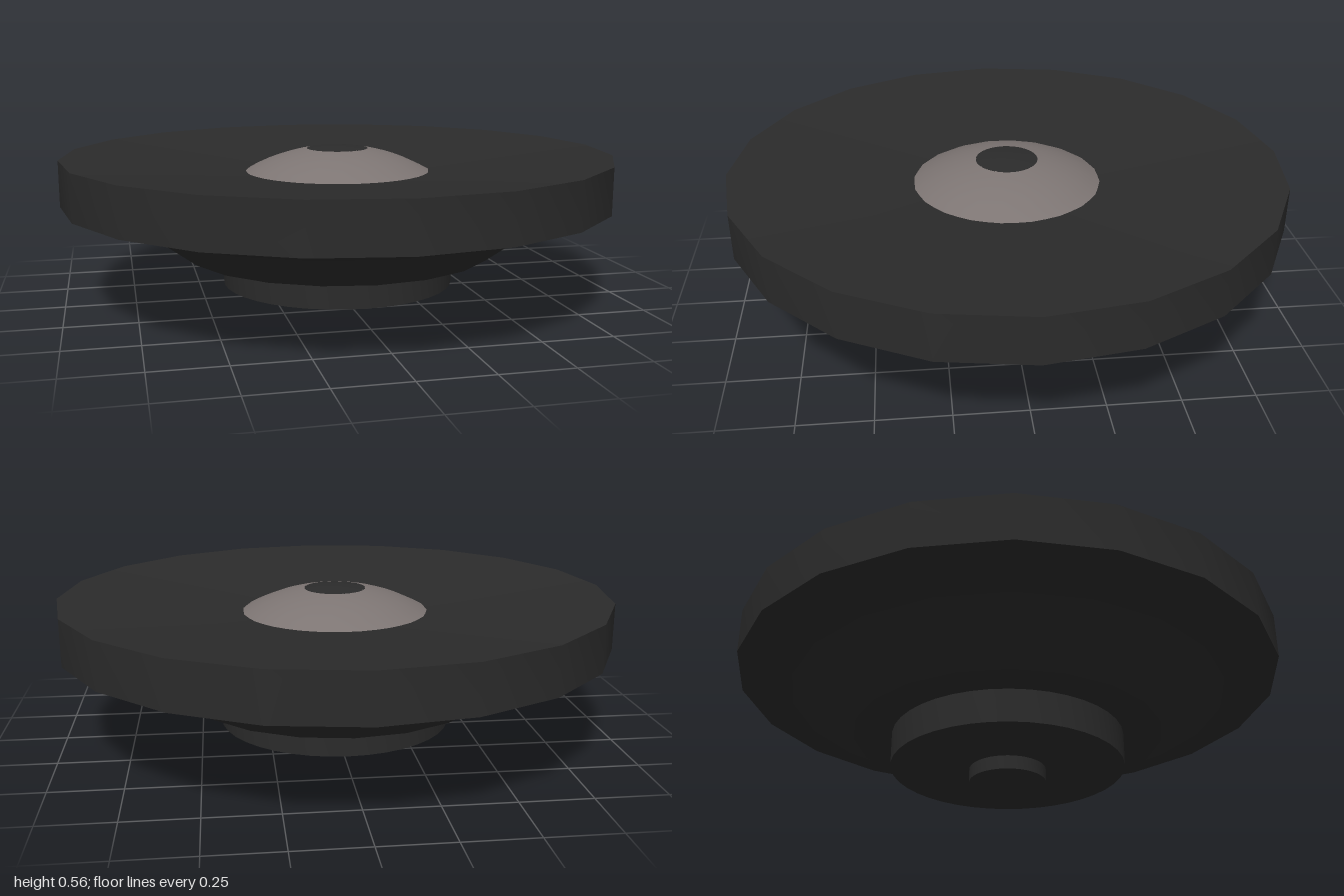
import * as THREE from 'three';
import { toCreasedNormals } from 'three/addons/utils/BufferGeometryUtils.js';

const DARK = 0x2b2b2b;
const GREY = 0x7d7573;

// Revolves a [radius, height] profile, listed from the bottom outwards and up
function turned(name, profile, sides, color, phase = 0) {
  const points = profile.map(([r, y]) => new THREE.Vector2(r, y));
  const geometry = toCreasedNormals(new THREE.LatheGeometry(points, sides, phase), 0.35);
  const mesh = new THREE.Mesh(geometry, new THREE.MeshStandardMaterial({ color }));
  mesh.name = name;
  return mesh;
}

// Points on a shallow spherical dome between two radii
function domeProfile(rOuter, rInner, steps) {
  const R = 0.687, top = 0.555;
  return Array.from({ length: steps + 1 }, (_, i) => {
    const r = rOuter + (rInner - rOuter) * i / steps;
    return [r, top - R + Math.sqrt(R * R - r * r)];
  });
}

export function createModel() {
  const group = new THREE.Group();
  group.name = 'loudspeaker';

  // Stepped basket underneath, closed around the magnet
  group.add(turned('basket',
    [[0, 0.17], [0.57, 0.17], [0.72, 0.28], [0.86, 0.33], [1, 0.365]], 20, DARK));

  // Outer rim band
  group.add(turned('rim', [[1, 0.365], [1, 0.53]], 20, DARK));

  // Shallow cone sloping down to the middle
  group.add(turned('cone', [[1, 0.53], [0.3, 0.461]], 20, DARK));

  // Dust dome with a dark centre
  group.add(turned('dustDome', domeProfile(0.345, 0.11, 6), 20, GREY, Math.PI / 20));
  group.add(turned('domeCentre', domeProfile(0.112, 0, 3), 40, DARK));

  // Magnet and its back plate
  group.add(turned('magnet', [[0, 0.05], [0.427, 0.05], [0.427, 0.17]], 40, DARK));
  group.add(turned('backPlate', [[0, 0], [0.14, 0], [0.14, 0.05]], 40, DARK));

  return group;
}
